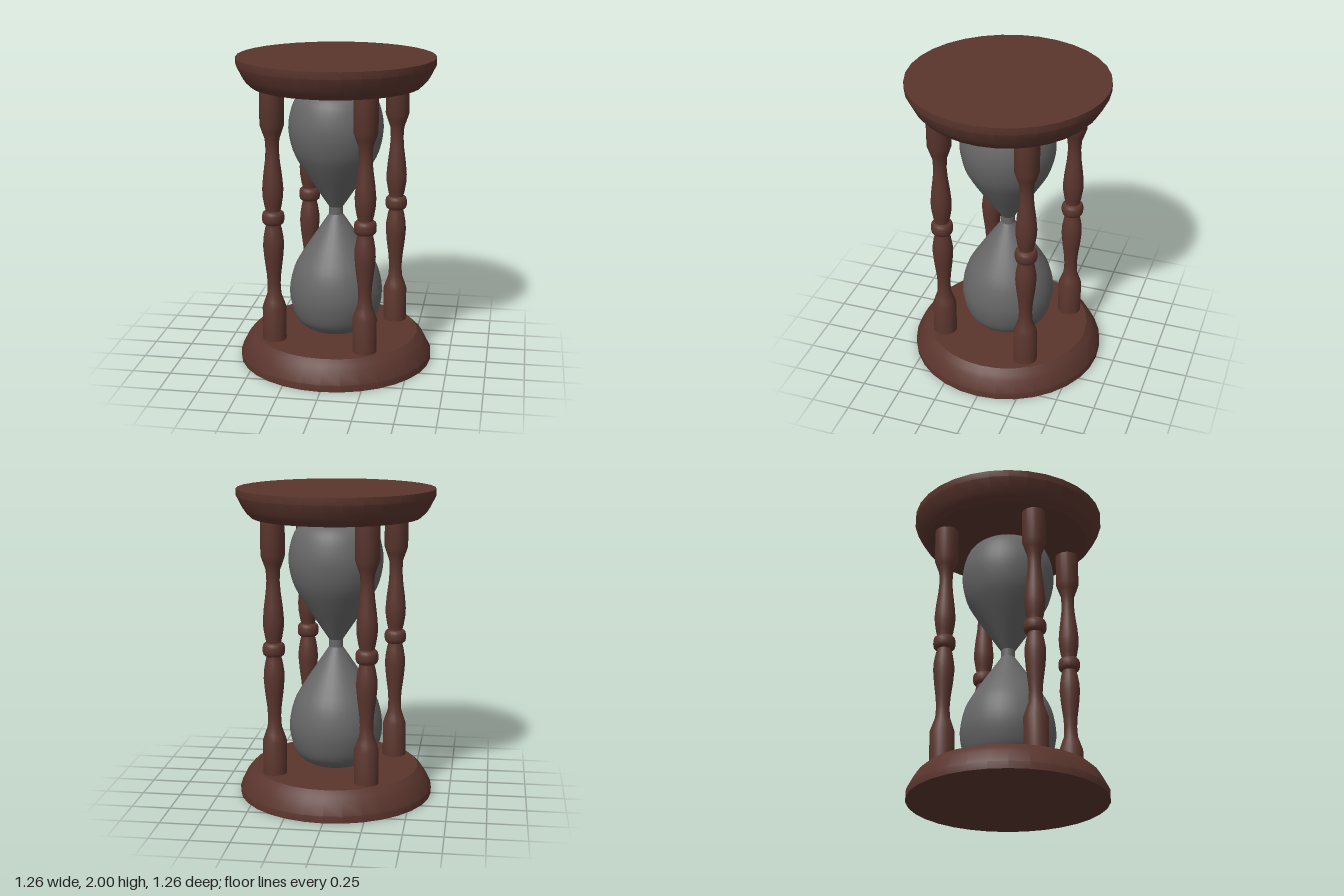
import * as THREE from 'three';
import { toCreasedNormals } from 'three/addons/utils/BufferGeometryUtils.js';

const wood = new THREE.MeshStandardMaterial({ color: 0x5a352d });
wood.name = 'dark wood';
const grey = new THREE.MeshStandardMaterial({ color: 0x666666 });
grey.name = 'grey glass';

// Turned part from [radius, height] pairs, listed bottom to top
function turned(name, profile, segments, material, crease = 0.5) {
  const points = profile.map(([r, y]) => new THREE.Vector2(r, y));
  const geometry = toCreasedNormals(new THREE.LatheGeometry(points, segments), crease);
  const mesh = new THREE.Mesh(geometry, material);
  mesh.name = name;
  return mesh;
}

// Mirror a lower-half profile about the waist at y = 1
const flip = (profile) => profile.map(([r, y]) => [r, 2 - y]).reverse();

export function createModel() {
  const model = new THREE.Group();
  model.name = 'hourglass';

  // Round end plates with a bevelled rim
  const plate = [[0, 0], [0.63, 0], [0.63, 0.045], [0.592, 0.12], [0.572, 0.15], [0.538, 0.182], [0, 0.182]];
  model.add(turned('basePlate', plate, 32, wood));
  model.add(turned('topPlate', flip(plate), 32, wood));

  // Two glass bulbs joined by a narrow neck
  const bulbCurve = new THREE.SplineCurve([
    [0, 0.182], [0.1, 0.186], [0.18, 0.206], [0.25, 0.258], [0.287, 0.34], [0.304, 0.46],
    [0.277, 0.6], [0.217, 0.715], [0.122, 0.86], [0.045, 0.975],
  ].map(([r, y]) => new THREE.Vector2(r, y)));
  const bulb = bulbCurve.getPoints(27).map((p) => [Math.max(p.x, 0), p.y]);
  model.add(turned('lowerBulb', bulb, 32, grey, 1));
  model.add(turned('upperBulb', flip(bulb), 32, grey, 1));
  model.add(turned('neck', [[0.045, 0.97], [0.045, 1.03]], 24, grey));

  // Four turned pillars, each with a rounded ring at the waist
  const half = [
    [0.077, 0.18], [0.077, 0.4], [0.062, 0.445], [0.046, 0.49], [0.042, 0.56], [0.047, 0.63],
    [0.06, 0.73], [0.067, 0.81], [0.065, 0.86], [0.055, 0.92], [0.045, 0.96],
  ];
  const shaft = [...half, ...flip(half)];
  const ring = [
    [0.04, 0.955], [0.055, 0.957], [0.066, 0.967], [0.071, 0.985],
    [0.071, 1.015], [0.066, 1.033], [0.055, 1.043], [0.04, 1.045],
  ];
  for (let i = 0; i < 4; i++) {
    const pillar = new THREE.Group();
    pillar.name = `pillar${i + 1}`;
    pillar.add(turned('shaft', shaft, 20, wood, 0.7), turned('ring', ring, 20, wood, 1));
    const angle = Math.atan2(0.365, 0.24) + (i * Math.PI) / 2;
    pillar.position.set(0.437 * Math.cos(angle), 0, 0.437 * Math.sin(angle));
    model.add(pillar);
  }
  return model;
}
